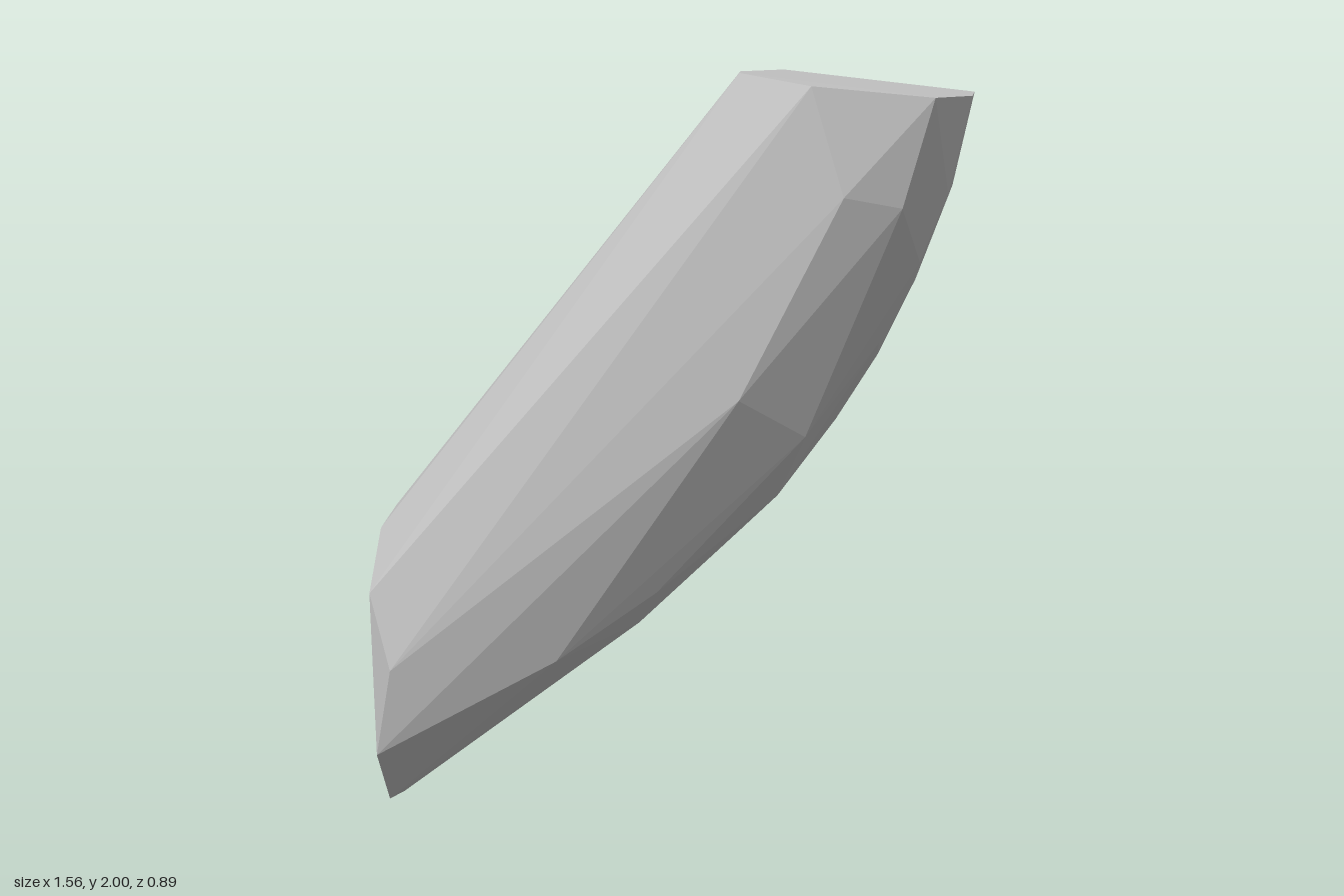
import * as THREE from 'three';
import { ConvexGeometry } from 'three/addons/geometries/ConvexGeometry.js';

export function createModel() {
  const group = new THREE.Group();
  const grey = new THREE.MeshStandardMaterial({ color: 0xc1c1c1 });
  grey.name = 'lightGrey';
  grey.flatShading = true;

  // Upright end facet, as x, y, z
  const lowerEnd = [
    [-0.78, 0, 0], [-0.77, 0.04, 0.235], [-0.77, 0.04, -0.22],
    [-0.765, 0.205, 0.41], [-0.765, 0.2, -0.39], [-0.72, 0.44, 0.44], [-0.72, 0.44, -0.445],
    [-0.78, 0.64, 0.405], [-0.78, 0.67, -0.36], [-0.78, 0.79, 0.255],
    [-0.78, 0.82, 0.06], [-0.78, 0.81, -0.14],
  ];

  // Slightly tilted top facet
  const upperEnd = [
    [0.155, 2, -0.03], [0.18, 2, 0.25], [0.38, 1.97, 0.428], [0.69, 1.94, 0.35],
    [0.778, 1.94, 0.12], [0.778, 1.945, -0.14], [0.665, 1.945, -0.375],
    [0.46, 1.955, -0.445], [0.245, 2, -0.355],
  ];

  // Centre line of the curved underside
  const keel = [
    [0.63, 1.45, 0], [0.53, 1.245, 0], [0.42, 1.07, 0], [0.14, 0.74, 0], [-0.11, 0.515, 0],
  ];

  // Facet corners mirrored on both sides of the underside
  const flank = [
    [0.72, 1.69, 0.195], [0.61, 1.66, 0.37], [0.65, 1.515, 0.235], [0.545, 1.3, 0.215],
    [0.36, 1.06, 0.3], [0.28, 0.89, 0.205], [-0.03, 0.64, 0.305], [-0.085, 0.545, 0.235],
    [-0.29, 0.46, 0.36], [0.465, 1.69, 0.442], [0.2, 1.17, 0.442],
  ];
  const sides = flank.flatMap(([x, y, z]) => [[x, y, z], [x, y, -z]]);

  const points = [...lowerEnd, ...upperEnd, ...keel, ...sides]
    .map((p) => new THREE.Vector3(...p));
  const body = new THREE.Mesh(new ConvexGeometry(points), grey);
  body.name = 'facetedBody';
  group.add(body);
  return group;
}
